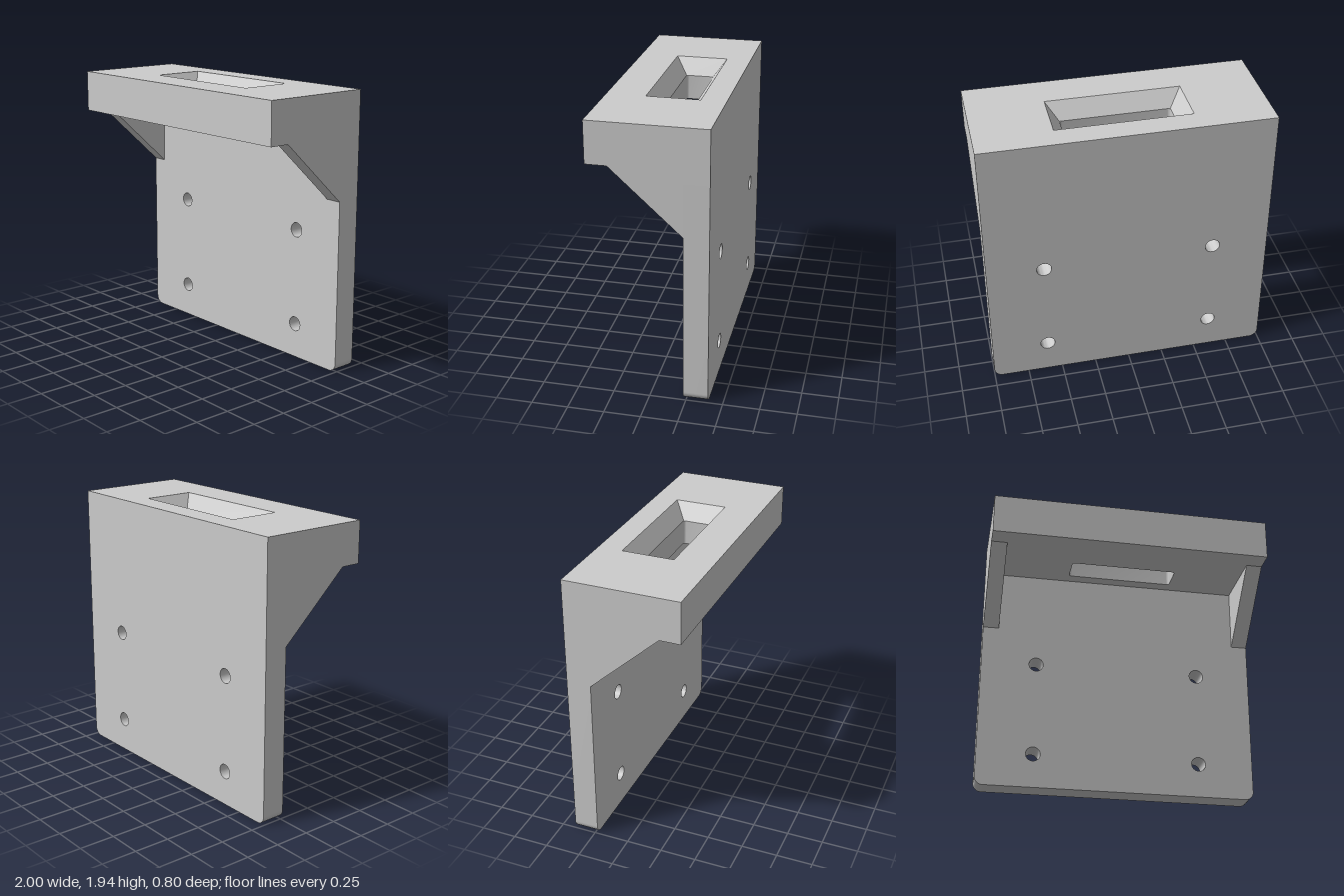
import * as THREE from 'three';
import { toCreasedNormals } from 'three/addons/utils/BufferGeometryUtils.js';

const TOP = 1.94, SHELF = 1.65, BACK = -0.4, FACE = -0.23, FRONT = 0.4;
const material = new THREE.MeshStandardMaterial({ color: 0xcccccc });

function addMesh(group, name, geometry) {
  const mesh = new THREE.Mesh(toCreasedNormals(geometry, 0.5), material);
  mesh.name = name;
  group.add(mesh);
}

// Rectangle in the xz plane with corner radius r, always the same point count
function rectLoop(hx, z0, z1, y, r = 0, seg = 6) {
  const pts = [];
  [[1, 1], [-1, 1], [-1, -1], [1, -1]].forEach(([sx, sz], c) => {
    for (let i = 0; i <= seg; i++) {
      const a = (c + i / seg) * Math.PI / 2;
      const cz = sz > 0 ? z1 - r : z0 + r;
      pts.push([sx * (hx - r) + r * Math.cos(a), y, cz + r * Math.sin(a)]);
    }
  });
  return pts;
}

// Skin between successive loops, skipping collapsed triangles
function loft(loops) {
  const pos = [];
  const same = (a, b) => a.every((v, i) => Math.abs(v - b[i]) < 1e-6);
  const tri = (a, b, c) => {
    if (!same(a, b) && !same(b, c) && !same(a, c)) pos.push(...a, ...b, ...c);
  };
  for (let l = 0; l < loops.length - 1; l++) {
    const A = loops[l], B = loops[l + 1], n = A.length;
    for (let i = 0; i < n; i++) {
      const j = (i + 1) % n;
      tri(A[i], B[i], A[j]);
      tri(A[j], B[i], B[j]);
    }
  }
  const g = new THREE.BufferGeometry();
  g.setAttribute('position', new THREE.Float32BufferAttribute(pos, 3));
  return g;
}

export function createModel() {
  const group = new THREE.Group();
  group.name = 'wallBracket';

  // Back plate with rounded lower corners and four screw holes
  const r = 0.06;
  const plate = new THREE.Shape();
  plate.moveTo(-1, SHELF);
  plate.lineTo(-1, r);
  plate.absarc(-1 + r, r, r, Math.PI, Math.PI * 1.5);
  plate.absarc(1 - r, r, r, Math.PI * 1.5, Math.PI * 2);
  plate.lineTo(1, SHELF);
  for (const x of [-0.6, 0.6]) for (const y of [0.245, 0.935]) {
    plate.holes.push(new THREE.Path().absarc(x, y, 0.052, 0, Math.PI * 2, true));
  }
  const plateGeo = new THREE.ExtrudeGeometry(plate, { depth: FACE - BACK, bevelEnabled: false, curveSegments: 16 });
  addMesh(group, 'backPlate', plateGeo.translate(0, 0, BACK));

  // Shelf block: outer walls, tapered mouth, then a straight rounded slot
  const mouthY = TOP - 0.115;
  addMesh(group, 'slottedShelf', loft([
    rectLoop(1, BACK, FRONT, SHELF),
    rectLoop(1, BACK, FRONT, TOP),
    rectLoop(0.47, -0.23, 0.135, TOP),
    rectLoop(0.385, -0.145, 0.05, mouthY),
    rectLoop(0.385, -0.145, 0.05, mouthY, 0.02),
    rectLoop(0.385, -0.145, 0.05, SHELF, 0.02),
    rectLoop(1, BACK, FRONT, SHELF),
  ]));

  // Triangular gussets at both ends, drawn in (z, y)
  const width = 0.115;
  const tri = new THREE.Shape([
    new THREE.Vector2(FACE, 1.205),
    new THREE.Vector2(0.255, SHELF),
    new THREE.Vector2(FACE, SHELF),
  ]);
  for (const [name, right] of [['leftGusset', 1], ['rightGusset', -1 + width]]) {
    const g = new THREE.ExtrudeGeometry(tri, { depth: width, bevelEnabled: false });
    addMesh(group, name, g.rotateY(-Math.PI / 2).translate(right, 0, 0));
  }
  return group;
}
